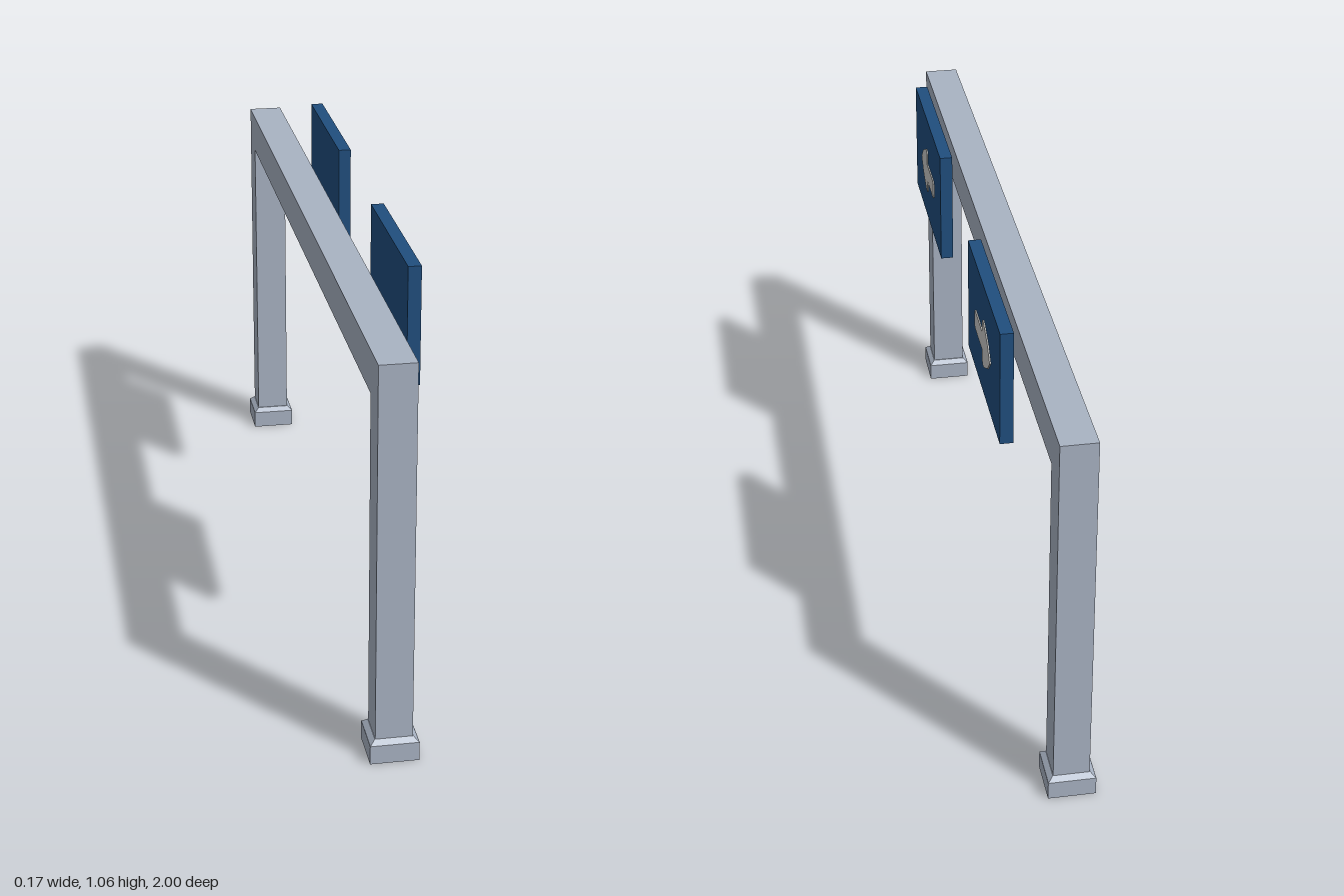
import * as THREE from 'three';

const frameGrey = new THREE.MeshStandardMaterial({ color: 0xa9b3c3 });
frameGrey.name = 'frame grey';
const signBlue = new THREE.MeshStandardMaterial({ color: 0x204e7e });
signBlue.name = 'sign blue';
const arrowWhite = new THREE.MeshStandardMaterial({ color: 0xcbcbc9 });
arrowWhite.name = 'arrow white';

function add(parent, name, geometry, material, x = 0, y = 0, z = 0) {
  const mesh = new THREE.Mesh(geometry, material);
  mesh.name = name;
  mesh.position.set(x, y, z);
  parent.add(mesh);
  return mesh;
}

// Extrudes a (z, y) outline along x, its outer face lying at x = 0
function profile(points, depth) {
  const shape = new THREE.Shape(points.map(([z, y]) => new THREE.Vector2(z, y)));
  return new THREE.ExtrudeGeometry(shape, { depth, bevelEnabled: false }).rotateY(-Math.PI / 2);
}

// Square frustum with flat sides
function frustum(top, bottom, height) {
  const g = new THREE.CylinderGeometry(top * Math.SQRT1_2, bottom * Math.SQRT1_2, height, 4)
    .rotateY(Math.PI / 4).toNonIndexed();
  g.computeVertexNormals();
  return g;
}

export function createModel() {
  const group = new THREE.Group();
  group.name = 'signGantry';

  // Two posts and the beam as one portal
  const outer = 0.988, inner = 0.902, top = 0.963, under = 0.864, foot = 0.05;
  add(group, 'portalFrame', profile([
    [-outer, foot], [-inner, foot], [-inner, under], [inner, under],
    [inner, foot], [outer, foot], [outer, top], [-outer, top],
  ], 0.086), frameGrey, 0.012);

  // Upper and lower half of the arrow, pointing along +z from its centre
  const half = [[0.107, 0], [0.075, 0.032], [0.03, 0.056], [0.012, 0.061],
    [0.001, 0.053], [0.002, 0.024], [-0.1, 0.024], [-0.107, 0.018]];
  const arrow = [...half, ...half.slice(1).reverse().map(([z, y]) => [z, -y])];

  for (const side of [1, -1]) {
    // Chamfered foot
    const base = new THREE.Group();
    base.name = side > 0 ? 'frontFoot' : 'rearFoot';
    base.position.set(-0.031, 0, side * 0.944);
    add(base, 'footBlock', new THREE.BoxGeometry(0.113, 0.046, 0.112), frameGrey, 0, 0.023);
    add(base, 'footChamfer', frustum(0.088, 0.112, 0.011), frameGrey, 0, 0.0515);
    group.add(base);

    // Direction board with an arrow pointing outwards
    const sign = new THREE.Group();
    sign.name = side > 0 ? 'frontSign' : 'rearSign';
    sign.position.set(0.069, 0.916, side > 0 ? 0.444 : -0.449);
    add(sign, 'board', new THREE.BoxGeometry(0.031, 0.286, 0.445), signBlue);
    add(sign, 'arrow', profile(arrow.map(([z, y]) => [z * side, y]), 0.004), arrowWhite,
      0.0185, -0.003, side > 0 ? -0.003 : 0.004);
    group.add(sign);
  }
  return group;
}
